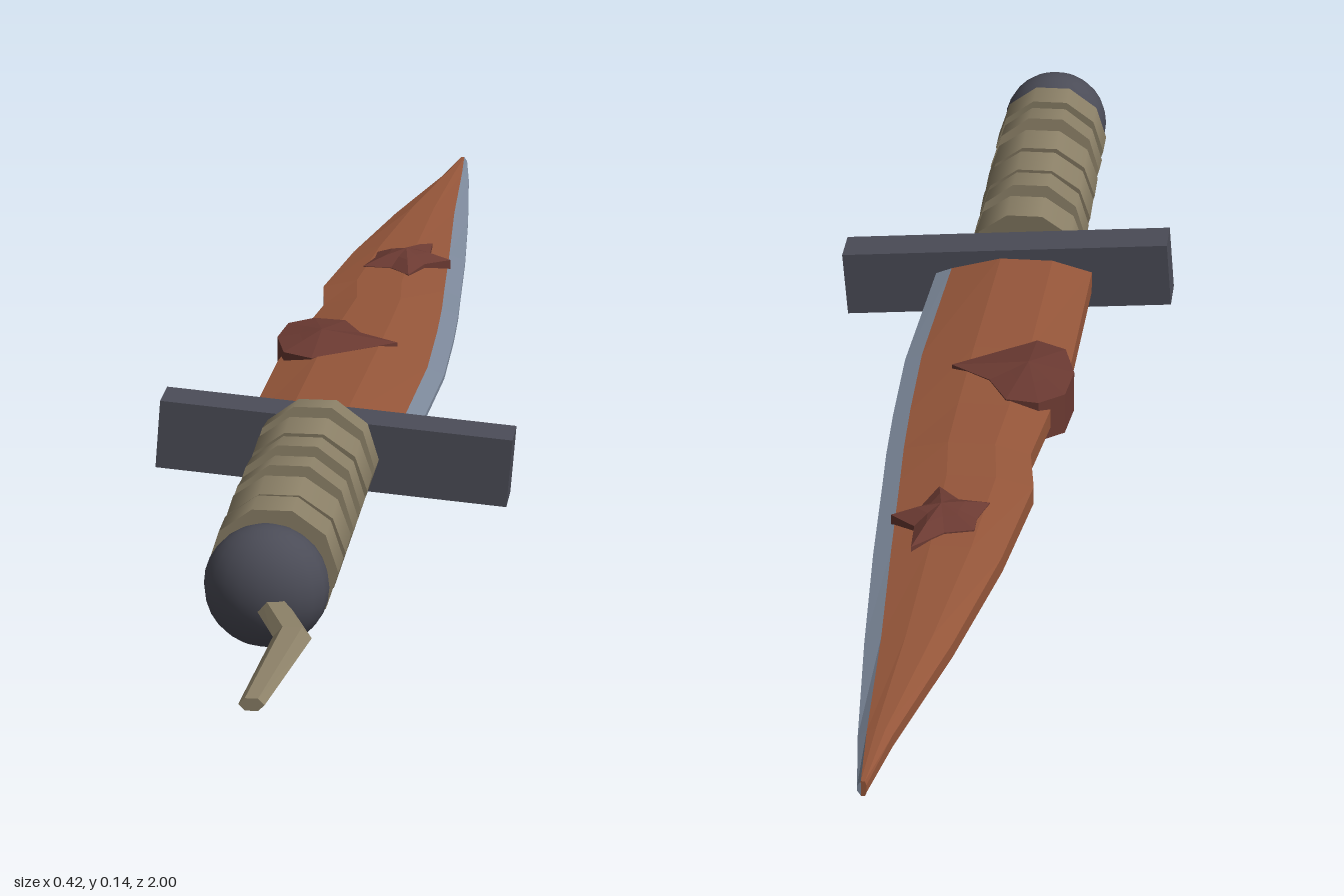
import * as THREE from 'three';

// Skin a list of rings (each counterclockwise seen from the direction of travel), capped at both ends
function loft(rings, flat = true) {
  const n = rings[0].length;
  const pos = rings.flat(2);
  const idx = [];
  for (let r = 0; r < rings.length - 1; r++) {
    for (let i = 0; i < n; i++) {
      const a = r * n + i, b = r * n + (i + 1) % n;
      idx.push(a, b, b + n, a, b + n, a + n);
    }
  }
  const last = (rings.length - 1) * n;
  for (let i = 1; i < n - 1; i++) {
    idx.push(0, i + 1, i, last, last + i, last + i + 1);
  }
  let geo = new THREE.BufferGeometry();
  geo.setAttribute('position', new THREE.Float32BufferAttribute(pos, 3));
  geo.setIndex(idx);
  if (flat) geo = geo.toNonIndexed();
  geo.computeVertexNormals();
  return geo;
}

export function createModel() {
  const model = new THREE.Group();
  model.name = 'rustyDagger';
  const mat = (name, color) => {
    const m = new THREE.MeshStandardMaterial({ color });
    m.name = name;
    return m;
  };
  const rust = mat('rust', 0x95563a);
  const darkRust = mat('darkRust', 0x6b3a32);
  const steel = mat('sharpSteel', 0x7c889a);
  const iron = mat('darkIron', 0x4b4c57);
  const leather = mat('leatherWrap', 0x8b8067);
  const add = (name, geo, material, x = 0, y = 0, z = 0) => {
    const m = new THREE.Mesh(geo, material);
    m.name = name;
    m.position.set(x, y, z);
    model.add(m);
    return m;
  };
  const axisX = -0.018, axisY = 0.075, bladeY = 0.077;

  // Blade stations: z, spine x, bevel x, cutting edge x, half thickness
  const stations = [
    [-1, 0.024, 0.03, 0.034, 0.009],
    [-0.9, 0.008, 0.036, 0.046, 0.014],
    [-0.7, -0.035, 0.045, 0.064, 0.017],
    [-0.5, -0.07, 0.058, 0.079, 0.02],
    [-0.33, -0.09, 0.068, 0.089, 0.022],
    [-0.25, -0.079, 0.073, 0.094, 0.023],
    [-0.15, -0.09, 0.077, 0.098, 0.024],
    [0, -0.106, 0.08, 0.101, 0.026],
    [0.26, -0.11, 0.07, 0.09, 0.028],
  ];
  const body = stations.map(([z, l, b, , t]) => {
    const p = l + (b - l) * 0.28, q = l + (b - l) * 0.65, s = t * 0.5, e = Math.min(0.011, t);
    return [[b, -e, z], [b, e, z], [q, t, z], [p, t, z], [l, s, z], [l, -s, z], [p, -t, z], [q, -t, z]];
  });
  add('blade', loft(body), rust, 0, bladeY);
  const edge = stations.map(([z, , b, r, t]) => {
    const e = Math.min(0.011, t);
    return [[b, -e, z], [r, -0.003, z], [r, 0.003, z], [b, e, z]];
  });
  add('cuttingEdge', loft(edge), steel, 0, bladeY);

  // Jagged rust lumps that swell out of both faces of the blade
  const lump = (name, cx, cz, base, outline) => {
    const levels = [[0.02, -0.038], [0.5, -0.032], [1, -base], [1, base], [0.5, 0.032], [0.02, 0.038]];
    const rings = levels.map(([s, y]) => outline.map(([x, z]) => [x * s, y, z * s]));
    add(name, loft(rings), darkRust, cx, bladeY, cz);
  };
  lump('rustLumpNearGuard', -0.058, -0.058, 0.026, [
    [-0.056, 0], [-0.04, 0.062], [-0.003, 0.083], [0.045, 0.045],
    [0.095, 0.006], [0.045, -0.03], [0.02, -0.08], [-0.02, -0.086], [-0.05, -0.06],
  ]);
  lump('rustLumpNearTip', 0.008, -0.43, 0.022, [
    [-0.042, -0.005], [-0.053, 0.036], [-0.016, 0.04], [0.01, 0.07], [0.026, 0.018],
    [0.058, -0.005], [0.028, -0.03], [0.026, -0.08], [-0.008, -0.042], [-0.042, -0.032],
  ]);

  // Crooked guard
  add('guard', new THREE.BoxGeometry(0.418, 0.083, 0.055), iron, 0, axisY, 0.278).rotation.z = -0.08;

  // Grip bindings, each leaning a little
  const tilts = [-0.12, 0.08, -0.1, -0.1, 0.12, 0];
  const ringGeo = new THREE.CylinderGeometry(0.073, 0.073, 0.048, 10);
  ringGeo.rotateY(Math.PI / 10 * 5).rotateX(Math.PI / 2);
  tilts.forEach((tilt, i) => {
    add('gripBinding' + (i + 1), ringGeo, leather, axisX, axisY, 0.336 + i * 0.07).rotation.x = tilt;
  });

  // Pommel
  add('pommel', new THREE.SphereGeometry(0.069, 20, 14), iron, axisX, axisY, 0.758).scale.z = 0.8;

  // Loose strap end: x, y, z, half width, half thickness
  const strap = [
    [-0.015, 0.068, 0.78, 0.02, 0.014],
    [0.024, 0.056, 0.865, 0.021, 0.014],
    [-0.002, 0.03, 0.998, 0.014, 0.008],
  ].map(([x, y, z, w, h]) => Array.from({ length: 6 }, (_, i) => {
    const a = i * Math.PI / 3;
    return [x + w * Math.cos(a), y + h * Math.sin(a), z];
  }));
  add('strapEnd', loft(strap), leather);

  return model;
}
